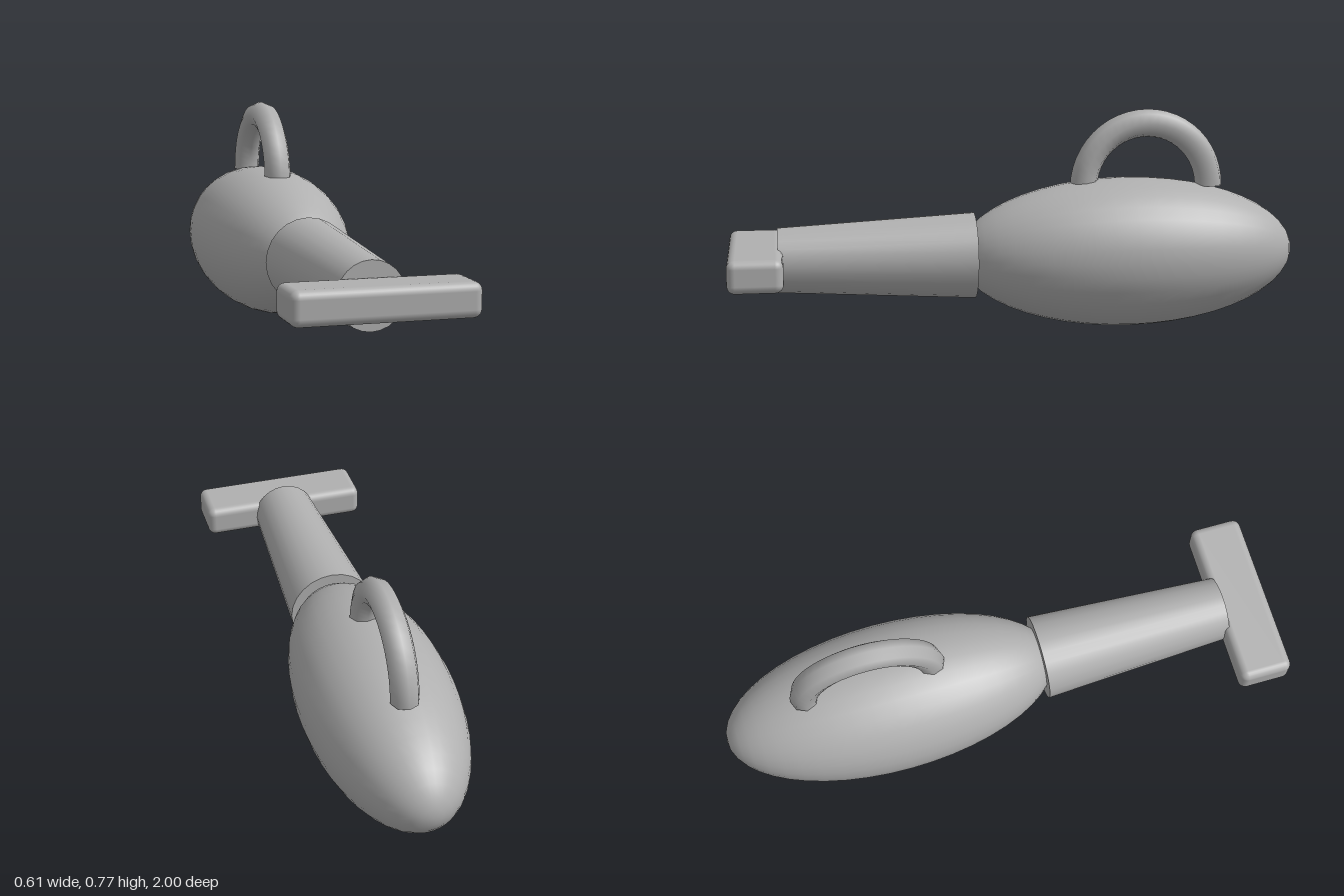
import * as THREE from 'three';
import { RoundedBoxGeometry } from 'three/addons/geometries/RoundedBoxGeometry.js';

export function createModel() {
  const model = new THREE.Group();
  const grey = new THREE.MeshStandardMaterial({ color: 0xb0b0b0, side: THREE.DoubleSide });
  grey.name = 'plain grey';
  const axisY = 0.267; // height of the long axis shared by body, neck and bar

  const add = (name, geometry, x, y, z) => {
    const mesh = new THREE.Mesh(geometry, grey);
    mesh.name = name;
    mesh.position.set(x, y, z);
    model.add(mesh);
    return mesh;
  };

  // Egg-shaped body, poles along z
  const ellipsoid = new THREE.SphereGeometry(1, 32, 24);
  ellipsoid.rotateX(Math.PI / 2);
  ellipsoid.scale(0.265, 0.265, 0.6);
  add('body', ellipsoid, 0, axisY, -0.4);

  // Tapered neck with closed ends, narrow towards the front
  const cone = new THREE.CylinderGeometry(0.113, 0.151, 0.685, 24);
  cone.rotateX(Math.PI / 2);
  add('neck', cone, 0, axisY, 0.4875);

  // Rounded cross bar at the front
  add('crossBar', new RoundedBoxGeometry(0.608, 0.113, 0.188, 3, 0.028), 0, axisY + 0.001, 0.906);

  // Half-ring handle standing on the body
  const ring = new THREE.TorusGeometry(0.225, 0.049, 8, 24, Math.PI);
  ring.rotateY(Math.PI / 2);
  add('handle', ring, 0, 0.499, -0.47);

  return model;
}
